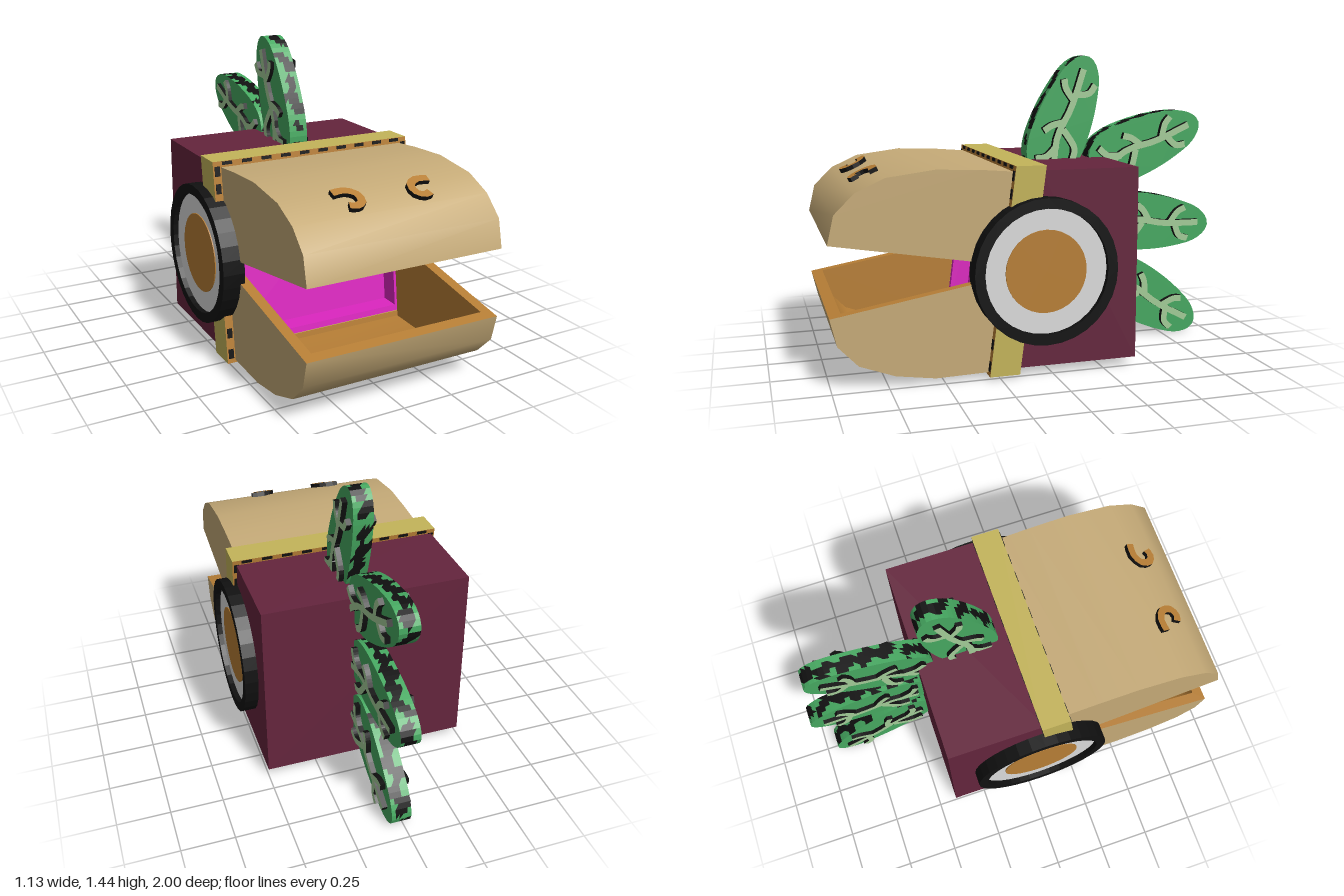
import * as THREE from 'three';

const mat = (name, color, side = THREE.FrontSide) => {
  const m = new THREE.MeshStandardMaterial({ color, side });
  m.name = name;
  return m;
};

export function createModel() {
  const model = new THREE.Group();
  const tan = mat('tan', 0xc6ab78, THREE.DoubleSide);
  const orange = mat('orange', 0xb87f36, THREE.DoubleSide);
  const plum = mat('plum', 0x65253d);
  const yellow = mat('mustard', 0xc4b45a);
  const black = mat('black', 0x111111);
  const white = mat('white', 0xdcdcdc);
  const green = mat('leaf green', 0x46a961);
  const pale = mat('pale green', 0xa3cc98);
  const magenta = mat('magenta', 0xdc26c0);

  const add = (parent, name, geometry, material) => {
    const mesh = new THREE.Mesh(geometry, material);
    mesh.name = name;
    parent.add(mesh);
    return mesh;
  };
  const shapeOf = (pts) => new THREE.Shape(pts.map(([a, b]) => new THREE.Vector2(a, b)));
  const extrude = (shape, depth, steps = 1) =>
    new THREE.ExtrudeGeometry(shape, { depth, steps, bevelEnabled: false, curveSegments: 16 });
  // Side-on shape (local x becomes -z) extruded from x0 to x1
  const sideways = (shape, x0, x1, steps) =>
    extrude(shape, x1 - x0, steps).rotateY(Math.PI / 2).translate(x0, 0, 0);
  // Lean back with height, to follow the tilted front of the body
  const lean = (g) => {
    const p = g.attributes.position;
    for (let i = 0; i < p.count; i++) p.setZ(i, p.getZ(i) - 0.13 * (p.getY(i) - 0.5));
    g.computeVertexNormals();
    return g;
  };
  const rect = (w, y0, y1) => shapeOf([[-w, y0], [w, y0], [w, y1], [-w, y1]]);
  const frame = (w, y0, y1, t, depth) => {
    const s = rect(w, y0, y1);
    s.holes.push(rect(w - t, y0 + t, y1 - t));
    return extrude(s, depth);
  };
  // Constant-width outline around a curved centre line
  const stroke = (pts, width) => {
    const curve = new THREE.SplineCurve(pts.map(([a, b]) => new THREE.Vector2(a, b)));
    const left = [], right = [], n = 10;
    for (let i = 0; i <= n; i++) {
      const c = curve.getPoint(i / n), t = curve.getTangent(i / n);
      left.push([c.x - t.y * width / 2, c.y + t.x * width / 2]);
      right.unshift([c.x + t.y * width / 2, c.y - t.x * width / 2]);
    }
    return shapeOf([...left, ...right]);
  };

  // Body with slanted front
  add(model, 'body', sideways(shapeOf([[0.41, 0.05], [0.41, 0.95], [-0.06, 0.95], [-0.175, 0.05]]), -0.5, 0.5), plum);

  // Collar and throat
  add(model, 'collar', lean(frame(0.52, 0.025, 0.975, 0.07, 0.14).translate(0, 0, 0.1)), [orange, yellow]);
  add(model, 'throatWalls', lean(frame(0.45, 0.095, 0.905, 0.03, 0.13).translate(0, 0, 0.105)), magenta);
  add(model, 'throatBack', lean(new THREE.BoxGeometry(0.86, 0.8, 0.02).translate(0, 0.5, 0.13)), magenta);

  // Dark blotches on the exposed collar edges
  for (const x of [-0.5, 0.5]) for (const y of [0.07, 0.17, 0.85, 0.93]) for (const z of [0.1, 0.24]) {
    add(model, 'collarSpot', lean(new THREE.BoxGeometry(0.025, 0.045, 0.006).translate(x, y, z)), black);
  }
  for (let i = 0; i < 10; i++) for (const [y, z] of [[0.965, 0.24], [0.037, 0.1], [0.965, 0.1]]) {
    add(model, 'collarSpot', lean(new THREE.BoxGeometry(0.05, 0.015, 0.006).translate(-0.45 + i * 0.1, y, z)), black);
  }

  // Jaws: profiles run from the hinge end over the outside to the lip, as [z, y]
  const W = 0.48, inset = 0.93, T = 0.05;
  const shell = (parent, name, pts, hinge, w, material) => {
    const pos = [], idx = [];
    pts.forEach(([z, y], i) => {
      pos.push(-w, y, z, w, y, z);
      const a = 2 * i;
      if (i) idx.push(a - 2, a, a - 1, a - 1, a, a + 1);
    });
    const g = new THREE.BufferGeometry();
    g.setAttribute('position', new THREE.Float32BufferAttribute(pos, 3));
    // Wind the faces outward on whichever way the jaw curves
    if (pts[0][1] < hinge[1]) idx.reverse();
    g.setIndex(idx);
    g.computeVertexNormals();
    add(parent, name + 'Curve', g, material);
    const side = shapeOf([hinge, ...pts].map(([z, y]) => [-z, y]));
    for (const s of [-1, 1]) {
      const cheek = new THREE.ShapeGeometry(side).rotateY(Math.PI / 2);
      if (s < 0) {
        cheek.index.array.reverse();
        cheek.computeVertexNormals();
      }
      add(parent, name + 'Side', cheek.translate(s * w, 0, 0), material);
    }
  };
  const jaw = (name, hinge, pts) => {
    const g = new THREE.Group();
    g.name = name;
    model.add(g);
    const inner = pts.map((p) => p.map((v, k) => hinge[k] + (v - hinge[k]) * inset));
    shell(g, 'outer', pts, hinge, W, tan);
    shell(g, 'inner', inner, hinge, W - T, orange);
    // U-shaped lip joining the outer and inner walls
    const lip = pts[pts.length - 1], dz = lip[0] - hinge[0], dy = lip[1] - hinge[1];
    const L = Math.hypot(dz, dy), v = W - T;
    const rim = new THREE.ShapeGeometry(shapeOf([[-W, 0], [-v, 0], [-v, L * inset], [v, L * inset], [v, 0], [W, 0], [W, L], [-W, L]]));
    add(g, 'lip', rim.rotateX(Math.atan2(dz, dy)).translate(0, hinge[1], hinge[0]), orange);
  };
  jaw('upperJaw', [0.235, 0.53], [[0.18, 0.947], [0.33, 0.96], [0.53, 0.968], [0.75, 0.94], [0.88, 0.88], [0.97, 0.79], [1, 0.66]]);
  jaw('lowerJaw', [0.245, 0.47], [[0.3, 0.037], [0.54, 0.032], [0.72, 0.06], [0.88, 0.12], [0.97, 0.215], [1, 0.34]]);

  // Nostrils: hooked ridges lying on the upper jaw
  for (const s of [-1, 1]) {
    const path = [[0.06, 0.045], [0, 0.05], [-0.045, 0.02], [-0.045, -0.03], [-0.01, -0.05], [0.02, -0.04]];
    const hook = extrude(stroke(path.map(([x, y]) => [x * s, y]), 0.038), 0.025);
    const m = add(model, 'nostril', hook, [orange, black]);
    m.position.set(0.18 * s, 0.912, 0.8);
    m.rotation.x = -Math.PI / 2 + 0.43;
  }

  // Round eyes, one on each side
  for (const s of [-1, 1]) {
    const eye = new THREE.Group();
    eye.name = s > 0 ? 'leftEye' : 'rightEye';
    const ring = new THREE.Shape().absarc(0, 0, 0.335, 0, Math.PI * 2);
    ring.holes.push(new THREE.Path().absarc(0, 0, 0.288, 0, Math.PI * 2));
    add(eye, 'eyeRim', sideways(ring, 0.46, 0.565), black);
    const disc = (name, r, x0, x1, m) =>
      add(eye, name, new THREE.CylinderGeometry(r, r, x1 - x0, 32).rotateZ(-Math.PI / 2).translate((x0 + x1) / 2, 0, 0), m);
    disc('eyeWhite', 0.29, 0.47, 0.54, white);
    disc('iris', 0.19, 0.54, 0.545, orange);
    eye.position.set(0, 0.5, 0.045);
    if (s < 0) eye.rotation.y = Math.PI;
    model.add(eye);
  }

  // Leaves: one outline and vein set, placed by base point and angle
  const half = [[0.05, 0.115], [0.14, 0.143], [0.29, 0.143], [0.44, 0.12], [0.55, 0.085], [0.605, 0.04]];
  const outline = [[0, 0.05], ...half, [0.62, 0], ...half.map(([a, b]) => [a, -b]).reverse(), [0, -0.05]].reverse();
  const veins = [
    [[0.06, -0.02], [0.2, 0.015], [0.36, 0], [0.55, 0.01]],
    [[0.06, 0.08], [0.09, 0.03], [0.16, 0]],
    [[0.12, -0.1], [0.18, -0.085], [0.24, 0]],
    [[0.2, 0.09], [0.24, 0.06], [0.28, 0]],
    [[0.47, 0.085], [0.43, 0.06], [0.39, 0]],
    [[0.5, -0.075], [0.45, -0.06], [0.42, 0]],
  ];
  // Split a leaf's edge into green and black patches
  const blotch = (g) => {
    const { start, count } = g.groups[1], p = g.attributes.position;
    g.clearGroups();
    g.addGroup(0, start, 0);
    for (let i = start; i < start + count; i += 3) {
      const c = [0, 0, 0];
      for (let k = 0; k < 3; k++) {
        c[0] += p.getX(i + k) / 3;
        c[1] += p.getY(i + k) / 3;
        c[2] += p.getZ(i + k) / 3;
      }
      const n = Math.sin(c[0] * 70) + Math.sin(c[1] * 61 + c[0] * 40) + Math.sin(c[2] * 67 - c[0] * 30);
      g.addGroup(i, 3, n > -0.1 ? 1 : 0);
    }
    return g;
  };
  const leaves = [[-0.10, 0.87, 1.196], [-0.35, 0.90, 0.36], [-0.38, 0.63, -0.08], [-0.40, 0.37, -0.55]];
  leaves.forEach(([z, y, angle]) => {
    const leaf = new THREE.Group();
    leaf.name = 'leaf';
    const place = (pts) => pts.map(([a, b]) => [
      -z + a * Math.cos(angle) - b * Math.sin(angle), y + a * Math.sin(angle) + b * Math.cos(angle)]);
    const edge = new THREE.CatmullRomCurve3(place(outline).map(([a, b]) => new THREE.Vector3(a, b, 0)), true);
    const pts = edge.getSpacedPoints(56).slice(0, -1).map((p) => [p.x, p.y]);
    add(leaf, 'blade', blotch(sideways(shapeOf(pts), -0.03, 0.065, 5)), [green, black]);
    veins.forEach((v) => add(leaf, 'vein', sideways(stroke(place(v), 0.032), -0.05, 0.09), [pale, black]));
    model.add(leaf);
  });

  return model;
}
